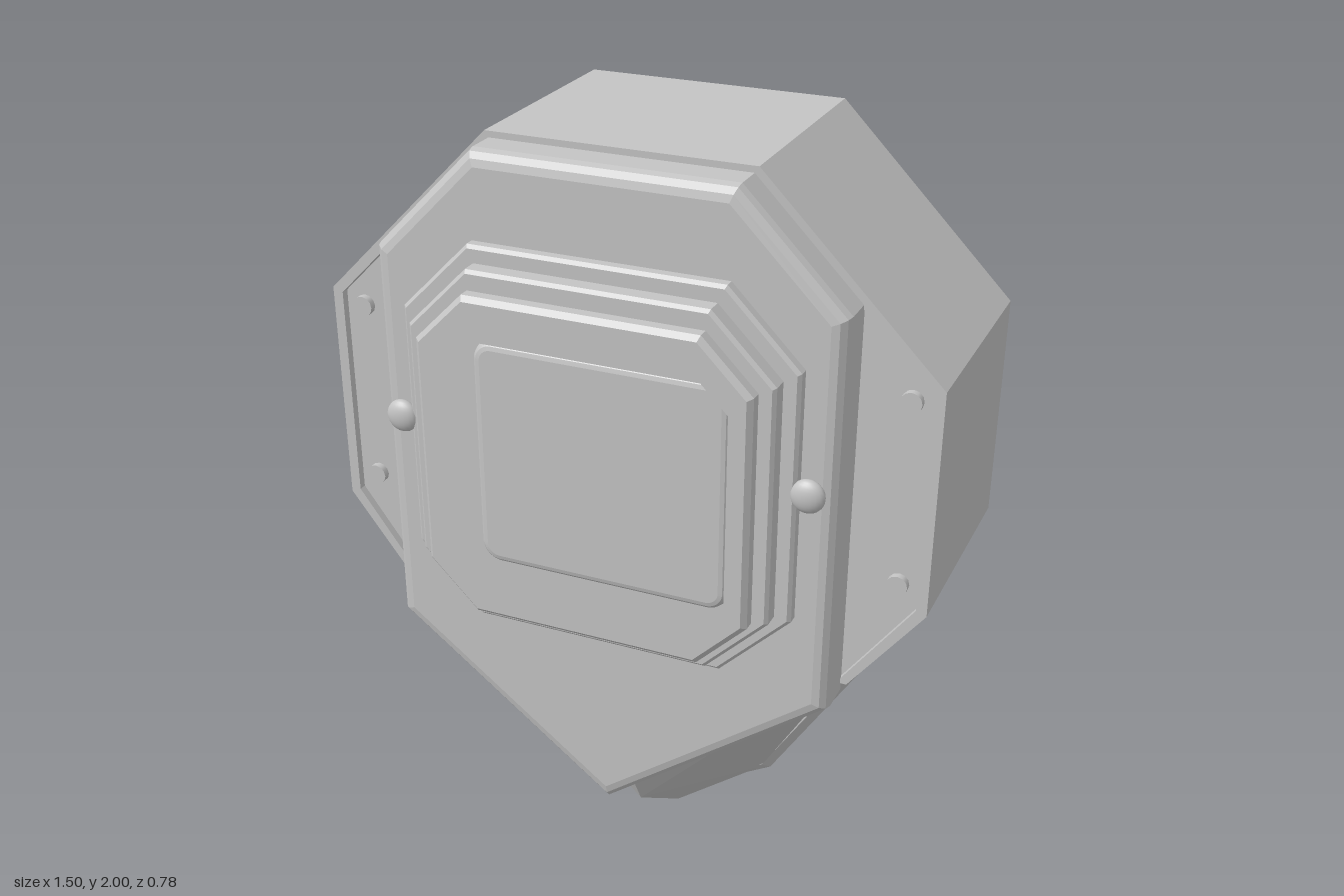
import * as THREE from 'three';
import { ConvexGeometry } from 'three/addons/geometries/ConvexGeometry.js';

const grey = new THREE.MeshStandardMaterial({ color: 0xc4c4c4 });

// Mirror a right-hand list of points (top to bottom) into a closed outline
const mirror = (half) => [...half, ...half.slice().reverse().filter(([x]) => x !== 0).map(([x, y]) => [-x, y])];

// Rectangle with cut corners
const octagon = (w, y0, y1, c) => mirror([[w - c, y1], [w, y1 - c], [w, y0 + c], [w - c, y0]]);

const toPath = (pts) => pts.map(([x, y]) => new THREE.Vector2(x, y));

export function createModel() {
  const model = new THREE.Group();

  const add = (name, geometry, x = 0, y = 0, z = 0) => {
    const mesh = new THREE.Mesh(geometry, grey);
    mesh.name = name;
    mesh.position.set(x, y, z);
    model.add(mesh);
    return mesh;
  };

  // Flat slab from z0 to z1 whose bevel stays inside the outline
  const slab = (name, pts, z0, z1, bevel = 0, hole = null, segments = 1) => {
    const shape = new THREE.Shape(toPath(pts));
    if (hole) shape.holes.push(new THREE.Path(toPath(hole)));
    const geometry = new THREE.ExtrudeGeometry(shape, {
      depth: z1 - z0 - 2 * bevel, bevelEnabled: bevel > 0, bevelThickness: bevel,
      bevelSize: bevel, bevelOffset: -bevel, bevelSegments: segments,
    });
    geometry.translate(0, 0, z0 + bevel);
    return add(name, geometry);
  };

  // Main casing with raised rims at front and back
  const outer = [[0.32, 2], [0.75, 1.57], [0.75, 1.02], [0.575, 0.79]];
  const inner = [[0.31, 1.975], [0.725, 1.56], [0.725, 1.03], [0.55, 0.79]];
  slab('casing', mirror(outer), -0.3, 0.15);
  const rim = [
    ...outer.slice().reverse(), ...outer.map(([x, y]) => [-x, y]),
    ...inner.slice().reverse().map(([x, y]) => [-x, y]), ...inner,
  ];
  slab('frontRim', rim, 0.15, 0.17);
  slab('backRim', rim, -0.39, -0.3);

  // Pointed front plate with an opening for the frame
  slab('frontPlate',
    mirror([[0.31, 1.985], [0.56, 1.735], [0.56, 0.77], [0, 0.345]]),
    0.13, 0.275, 0.035, octagon(0.47, 0.845, 1.8, 0.17), 3);

  // Stepped window frame
  const opening = octagon(0.36, 0.95, 1.61, 0.07);
  slab('frameOuterStep', octagon(0.475, 0.84, 1.785, 0.17), 0.14, 0.305, 0.008, opening);
  slab('frameMiddleStep', octagon(0.437, 0.87, 1.745, 0.15), 0.29, 0.35, 0.008, opening);
  slab('frameInnerStep', octagon(0.4, 0.9, 1.7, 0.12), 0.34, 0.39, 0.012, opening);
  slab('windowFloor', octagon(0.38, 0.93, 1.63, 0.07), 0.14, 0.25);

  // Rounded screen
  const screen = new THREE.Shape();
  const [w, y0, y1, r] = [0.315, 0.985, 1.555, 0.05];
  screen.absarc(w - r, y1 - r, r, 0, Math.PI / 2);
  screen.absarc(-w + r, y1 - r, r, Math.PI / 2, Math.PI);
  screen.absarc(-w + r, y0 + r, r, Math.PI, Math.PI * 1.5);
  screen.absarc(w - r, y0 + r, r, Math.PI * 1.5, Math.PI * 2);
  add('screen', new THREE.ExtrudeGeometry(screen, {
    depth: 0.05, bevelThickness: 0.02, bevelSize: 0.02, bevelOffset: -0.02, bevelSegments: 3, curveSegments: 6,
  }), 0, 0, 0.22);

  // Back plate running down to the chin
  slab('backPlate', mirror([
    [0.28, 1.84], [0.61, 1.51], [0.61, 0.82], [0.625, 0.74], [0.23, 0.11], [0.04, 0],
  ]), -0.386, -0.295, 0.025);

  // Faceted keel between the front plate and the back plate
  const keel = [[0, 0.35, 0.14], [0, 0.2, 0.06], [0, 0.01, -0.2]];
  for (const s of [1, -1]) {
    keel.push([s * 0.56, 0.8, 0.12], [s * 0.59, 0.78, -0.32], [s * 0.2, 0.1, -0.32], [s * 0.04, 0.015, -0.28]);
  }
  add('keel', new ConvexGeometry(keel.map((p) => new THREE.Vector3(...p))));

  // Screws, nuts and knobs on both sides
  const screwGeo = new THREE.CylinderGeometry(0.025, 0.025, 0.024, 12).rotateX(Math.PI / 2);
  const boltGeo = new THREE.CylinderGeometry(0.028, 0.028, 0.03, 6).rotateX(Math.PI / 2);
  const nutGeo = new THREE.BoxGeometry(0.085, 0.085, 0.016);
  const knobGeo = new THREE.SphereGeometry(0.04, 20, 14).scale(1, 1, 0.55);
  for (const s of [1, -1]) {
    add('knob', knobGeo, s * 0.5, 1.335, 0.298);
    for (const y of [1.53, 1.08]) add('frontScrew', screwGeo, s * 0.675, y, 0.155);
    for (const [x, y] of [[0.53, 0.93], [0.21, 0.24]]) add('backScrew', screwGeo, s * x, y, -0.378);
    for (const [x, y, turn] of [[0.24, 1.905, 0], [0.665, 1.53, 0.4], [0.665, 1.08, 0.2]]) {
      add('nut', nutGeo, s * x, y, -0.306).rotation.z = s * turn;
      add('bolt', boltGeo, s * x, y, -0.32);
    }
  }
  return model;
}
